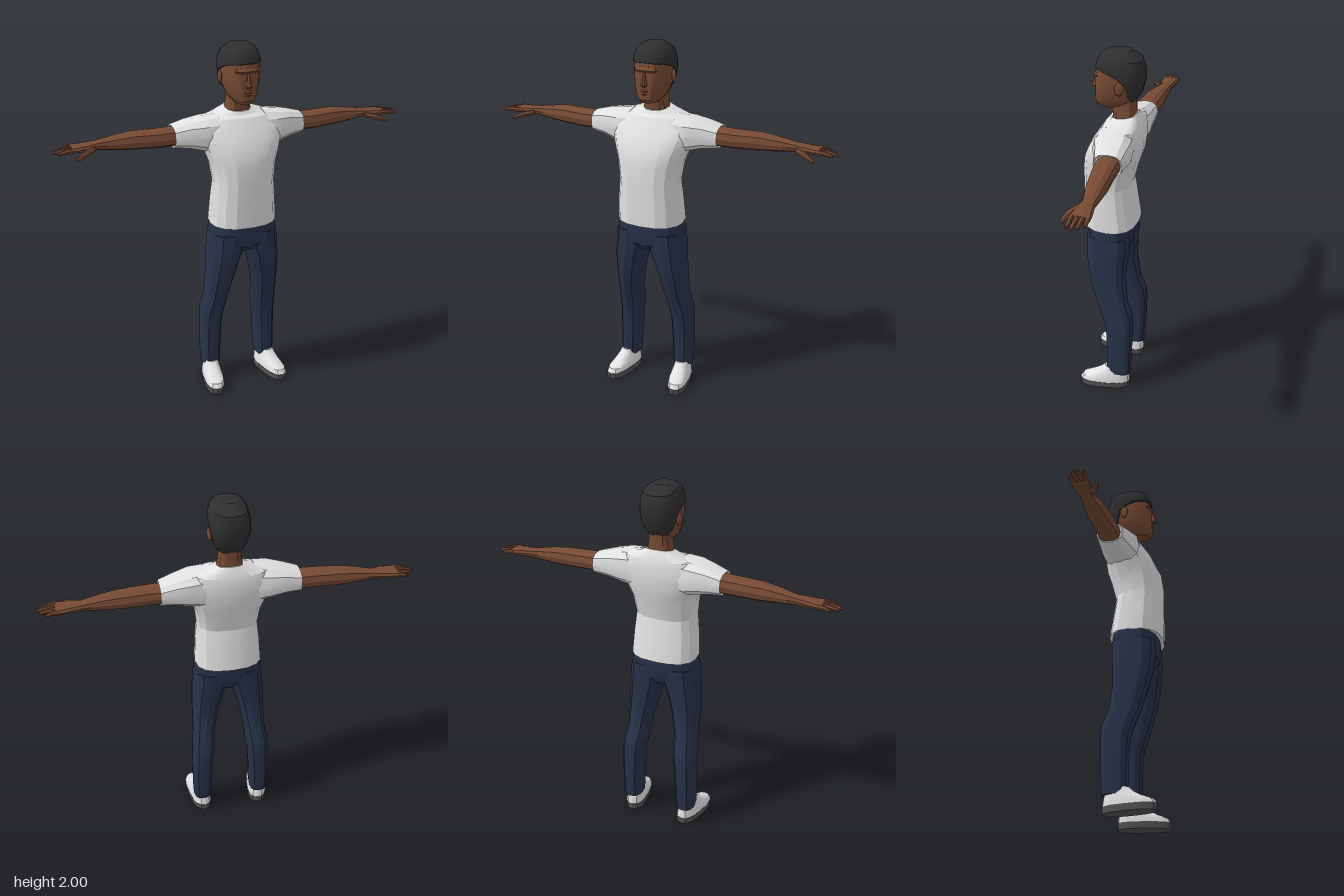
import * as THREE from 'three';
import { toCreasedNormals } from 'three/addons/utils/BufferGeometryUtils.js';

const mat = (name, color) => Object.assign(new THREE.MeshStandardMaterial({ color }), { name });
const V = (x, y, z) => new THREE.Vector3(x, y, z);
const pw = (v, p) => Math.sign(v) * Math.abs(v) ** p;
const P = 0.78; // squareness of the cross-sections

// Piecewise-linear lookup in rows sorted by their first entry
function lookup(rows, k) {
  let i = 0;
  while (i < rows.length - 2 && k > rows[i + 1][0]) i++;
  const [a, b] = [rows[i], rows[i + 1]];
  const t = THREE.MathUtils.clamp((k - a[0]) / (b[0] - a[0]), 0, 1);
  return a.map((v, j) => v + (b[j] - v) * t);
}

// Closed skin over rings of points, with both ends capped
function loft(rings, crease = 0.45) {
  const n = rings[0].length, pos = [], idx = [];
  rings.forEach(r => r.forEach(p => pos.push(p.x, p.y, p.z)));
  for (let k = 0; k < rings.length - 1; k++)
    for (let i = 0; i < n; i++) {
      const a = k * n + i, b = k * n + (i + 1) % n;
      idx.push(a, b, b + n, a, b + n, a + n);
    }
  [0, rings.length - 1].forEach((k, end) => {
    const c = rings[k].reduce((s, p) => s.add(p), V(0, 0, 0)).divideScalar(n);
    const ci = pos.length / 3;
    pos.push(c.x, c.y, c.z);
    for (let i = 0; i < n; i++) {
      const a = k * n + i, b = k * n + (i + 1) % n;
      end ? idx.push(a, b, ci) : idx.push(b, a, ci);
    }
  });
  const g = new THREE.BufferGeometry();
  g.setAttribute('position', new THREE.Float32BufferAttribute(pos, 3));
  g.setIndex(idx);
  return toCreasedNormals(g, crease);
}

const around = (n, f) => Array.from({ length: n }, (_, i) => f(i / n * Math.PI * 2));

// Upright section: height, half width, front z, back z, centre x
function section(a, [y, hw, zf, zb], xc = 0) {
  const zc = zf * 0.45 + zb * 0.55, c = pw(Math.cos(a), P);
  return V(xc + hw * pw(Math.sin(a), P), y, zc + c * (c > 0 ? zf - zc : zc - zb));
}
const upright = (rows, n = 14) => loft(rows.map(r => around(n, a => section(a, r))));
const legLoft = rows => loft(rows.map(([y, xi, xo, zf, zb]) =>
  around(12, a => section(a, [y, (xo - xi) / 2, zf, zb], (xi + xo) / 2))));
// Sideways section: x, top y, bottom y, front z, back z
const sideways = (rows, n = 10) => loft(rows.map(([x, yt, yb, zf, zb]) => around(n, a => V(x,
  (yt + yb) / 2 - pw(Math.sin(a), P) * (yt - yb) / 2,
  (zf + zb) / 2 + pw(Math.cos(a), P) * (zf - zb) / 2))));

// Mirror across x = 0, keeping faces outward
function mirrored(geo) {
  const g = geo.index ? geo.toNonIndexed() : geo.clone();
  for (const key of ['position', 'normal']) {
    const t = g.attributes[key];
    for (let i = 0; i < t.count; i += 3) {
      const q = [0, 2, 1].map(j => [-t.getX(i + j), t.getY(i + j), t.getZ(i + j)]);
      q.forEach((p, j) => t.setXYZ(i + j, ...p));
    }
  }
  return g;
}

export function createModel() {
  const root = new THREE.Group();
  const skin = mat('skin', 0x774a34), hairMat = mat('hair', 0x2f2f2f), cloth = mat('shirt white', 0xe2e2e2);
  const denim = mat('trouser navy', 0x28324a), rubber = mat('sole grey', 0x555555);
  const add = (name, geo, m) => {
    const mesh = new THREE.Mesh(geo, m);
    mesh.name = name;
    root.add(mesh);
  };
  const pair = (name, geo, m) => {
    add('left' + name, geo, m);
    add('right' + name, mirrored(geo), m);
  };

  // Shirt body, with the collar dipping at the front
  const shirt = [
    [1.02, .185, .16, -.135], [1.15, .178, .162, -.115], [1.26, .167, .162, -.1],
    [1.36, .18, .162, -.125], [1.43, .205, .152, -.147], [1.5, .232, .122, -.155],
    [1.56, .238, .083, -.155], [1.61, .2, .05, -.147], [1.645, .115, .025, -.13], [1.662, .076, .014, -.121]];
  add('shirtBody', loft(shirt.map((r, k) => around(16, a => {
    const p = section(a, r);
    if (k > 7) p.y -= .012 * (1 + Math.cos(a));
    return p;
  })), 0.35), cloth);
  pair('Sleeve', sideways([
    [.13, 1.63, 1.42, .06, -.14], [.21, 1.622, 1.435, .065, -.15], [.29, 1.606, 1.455, .035, -.145],
    [.372, 1.582, 1.464, .012, -.14], [.364, 1.574, 1.472, .004, -.132]], 12), cloth);

  // Arms and hands
  pair('Arm', sideways([
    [.33, 1.573, 1.474, -.004, -.13], [.45, 1.57, 1.472, -.007, -.128], [.58, 1.57, 1.475, -.025, -.135],
    [.66, 1.56, 1.481, -.036, -.131], [.77, 1.54, 1.492, -.058, -.126], [.82, 1.537, 1.492, -.045, -.133],
    [.88, 1.532, 1.495, -.039, -.143], [.905, 1.527, 1.499, -.043, -.139]]), skin);
  [.982, 1, .99, .955].forEach((tip, i) => {
    const z = -.052 - i * .0262;
    pair('Finger' + (i + 1), sideways([
      [.885, 1.528, 1.5, z + .012, z - .012], [(.885 + tip) / 2, 1.525, 1.501, z + .011, z - .011],
      [tip - .012, 1.515, 1.496, z + .009, z - .009], [tip, 1.509, 1.499, z + .004, z - .004]], 6), skin);
  });
  pair('Thumb', sideways([
    [.785, 1.525, 1.495, -.04, -.075], [.84, 1.515, 1.483, -.008, -.042],
    [.88, 1.497, 1.472, .006, -.018], [.897, 1.485, 1.472, .006, -.008]], 6), skin);

  // Trousers
  add('trouserHips', upright([
    [.86, .05, .1, -.08], [.9, .172, .131, -.102], [.97, .191, .138, -.113], [1.03, .18, .138, -.115]], 16), denim);
  pair('TrouserLeg', legLoft([
    [.095, .12, .22, -.002, -.137], [.13, .116, .223, .002, -.141], [.25, .112, .225, .002, -.146],
    [.4, .102, .223, .01, -.15], [.47, .093, .222, .03, -.146], [.56, .087, .209, .065, -.112],
    [.7, .058, .206, .105, -.096], [.8, .03, .203, .125, -.1], [.88, .003, .198, .133, -.108],
    [.97, .003, .188, .133, -.11]]), denim);

  // Shoes, toes turned out
  const foot = g => g.rotateY(.16).translate(.182, 0, .006);
  pair('ShoeSole', foot(upright([[0, .056, .148, -.14], [.036, .059, .152, -.142]], 16)), rubber);
  pair('Shoe', foot(upright([
    [.036, .057, .15, -.14], [.06, .054, .135, -.137], [.083, .048, .075, -.133],
    [.108, .042, .03, -.125], [.132, .037, .003, -.11]], 16)), cloth);

  // Neck and head
  add('neck', upright([
    [1.6, .085, .005, -.12], [1.66, .066, .01, -.114], [1.71, .058, .017, -.114], [1.77, .058, .02, -.114]], 12), skin);
  const skull = [
    [1.695, .042, .088, -.04], [1.715, .06, .104, -.08], [1.745, .076, .105, -.11], [1.79, .09, .104, -.134],
    [1.85, .098, .101, -.146], [1.9, .097, .095, -.149], [1.95, .088, .08, -.133],
    [1.975, .07, .058, -.108], [1.988, .045, .03, -.078]];
  add('head', upright(skull, 18), skin);
  add('nose', upright([[1.786, .013, .115, .07], [1.797, .019, .13, .07], [1.81, .014, .127, .07], [1.865, .008, .106, .07]], 8), skin);
  add('brow', upright([[1.862, .064, .101, .03], [1.872, .068, .108, .03], [1.89, .06, .098, .03]], 12), skin);
  add('upperLip', upright([[1.758, .024, .107, .06], [1.764, .025, .113, .06], [1.774, .016, .106, .06]], 8), skin);
  add('lowerLip', upright([[1.741, .016, .106, .06], [1.75, .022, .111, .06], [1.756, .024, .107, .06]], 8), skin);
  pair('Ear', new THREE.SphereGeometry(1, 8, 6).scale(.012, .037, .024).rotateY(.3).translate(.102, 1.823, -.046), skin);

  // Hair shell following the skull, with its lower edge set by the hairline
  const hairline = [[0, 1.908], [.9, 1.903], [1.45, 1.885], [1.85, 1.84], [2.15, 1.765], [Math.PI, 1.73]];
  const centre = V(0, 1.86, -.025);
  const hairRing = (t, grow) => around(24, a => {
    const line = lookup(hairline, Math.min(a, Math.PI * 2 - a))[1];
    const p = section(a, lookup(skull, line + (1.988 - line) * t));
    return p.add(p.clone().sub(centre).setLength(grow));
  });
  add('hair', loft([hairRing(0, -.004), hairRing(0, .008),
    ...[.2, .42, .64, .84, 1].map(t => hairRing(t, .012))]), hairMat);
  return root;
}
